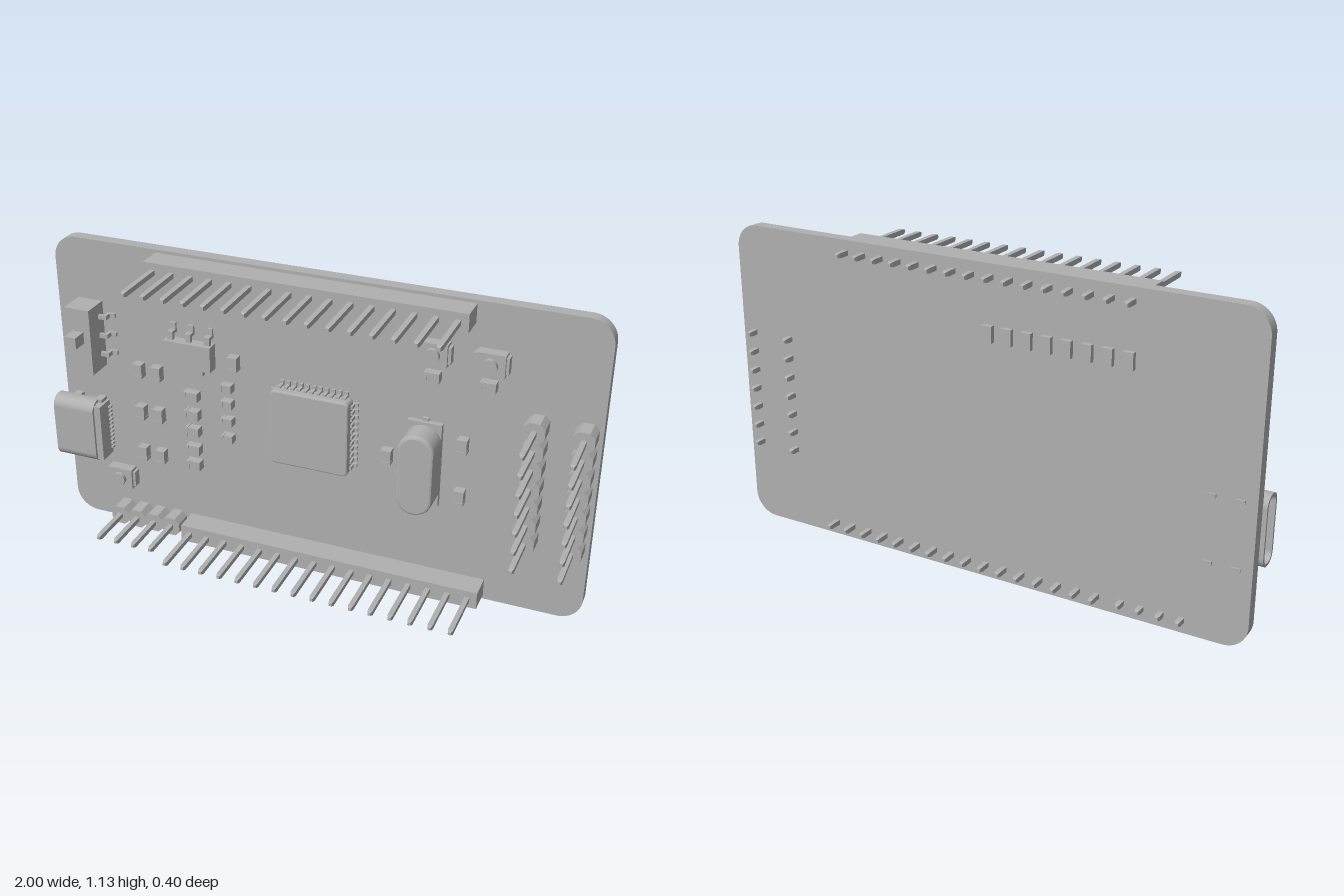
import * as THREE from 'three';

const grey = new THREE.MeshStandardMaterial({ color: 0xb0b0b0 });
grey.name = 'plain grey';
const FRONT = -0.1, BACK = -0.145, PITCH = 0.0715;

function add(parent, name, geometry, x = 0, y = 0, z = 0) {
  const mesh = new THREE.Mesh(geometry, grey);
  mesh.name = name;
  mesh.position.set(x, y, z);
  parent.add(mesh);
  return mesh;
}

function group(parent, name) {
  const g = new THREE.Group();
  g.name = name;
  parent.add(g);
  return g;
}

// Box centred on x, y and spanning z0..z1
function block(parent, name, x, y, w, h, z0, z1) {
  return add(parent, name, new THREE.BoxGeometry(w, h, z1 - z0), x, y, (z0 + z1) / 2);
}

function roundedRect(w, h, r, Type = THREE.Shape) {
  const s = new Type(), a = w / 2, b = h / 2;
  s.absarc(a - r, b - r, r, 0, Math.PI / 2);
  s.absarc(-a + r, b - r, r, Math.PI / 2, Math.PI);
  s.absarc(-a + r, -b + r, r, Math.PI, Math.PI * 1.5);
  s.absarc(a - r, -b + r, r, Math.PI * 1.5, Math.PI * 2);
  s.closePath();
  return s;
}

// Rounded slab between z0 and z1 with an optional bevelled front rim
function slab(parent, name, x, y, w, h, r, z0, z1, bevel = 0) {
  const geo = new THREE.ExtrudeGeometry(roundedRect(w - 2 * bevel, h - 2 * bevel, r - bevel), {
    depth: z1 - z0 - 2 * bevel, curveSegments: 8, bevelEnabled: bevel > 0,
    bevelSize: bevel, bevelThickness: bevel, bevelSegments: 2,
  });
  return add(parent, name, geo, x, y, z0 + bevel);
}

// Square pin with slightly tapered ends
function pin(parent, x, y, z0, z1) {
  const w = 0.018, len = z1 - z0, tip = 0.012;
  const geo = new THREE.BoxGeometry(w, w, len, 1, 1, 3).toNonIndexed();
  const p = geo.attributes.position;
  for (let i = 0; i < p.count; i++) {
    const z = p.getZ(i);
    if (Math.abs(z) > len * 0.4) p.setXY(i, p.getX(i) * 0.6, p.getY(i) * 0.6);
    else p.setZ(i, Math.sign(z) * (len / 2 - tip));
  }
  geo.computeVertexNormals();
  add(parent, 'pin', geo, x, y, (z0 + z1) / 2);
}

// Long one-piece header with sixteen pins
function longHeader(parent, name, firstX, y) {
  const g = group(parent, name);
  block(g, 'housing', firstX + 7.5 * PITCH, y, 1.142, 0.066, FRONT, -0.01);
  for (let i = 0; i < 16; i++) pin(g, firstX + i * PITCH, y, -0.2, 0.2);
}

// Header made of chamfered cells, one for each pin
function cellHeader(parent, name, x, y, count, dx, dy) {
  const g = group(parent, name);
  const a = PITCH / 2, c = 0.018;
  const outline = [[a, -a + c], [a, a - c], [a - c, a], [-a + c, a],
    [-a, a - c], [-a, -a + c], [-a + c, -a], [a - c, -a]];
  const geo = new THREE.ExtrudeGeometry(
    new THREE.Shape(outline.map(([u, v]) => new THREE.Vector2(u, v))),
    { depth: 0.068, bevelEnabled: false });
  for (let i = 0; i < count; i++) {
    add(g, 'cell', geo, x + i * dx, y + i * dy, FRONT);
    pin(g, x + i * dx, y + i * dy, -0.185, 0.14);
  }
}

function button(parent, x, y) {
  const g = group(parent, 'pushButton');
  block(g, 'buttonBody', x, y, 0.098, 0.08, FRONT, -0.06);
  for (const s of [-1, 1]) block(g, 'buttonTerminal', x + s * 0.052, y, 0.014, 0.06, FRONT, -0.07);
  const cap = new THREE.CylinderGeometry(0.025, 0.025, 0.02, 24).rotateX(Math.PI / 2);
  add(g, 'buttonCap', cap, x, y, -0.054);
}

// Small surface part: body with raised end caps along its long side
function chipPart(parent, x, y, w, h) {
  const g = group(parent, 'smallComponent');
  const tall = h > w;
  block(g, 'componentBody', x, y, w * 0.96, h * 0.96, FRONT, -0.068);
  for (const s of [-1, 1]) {
    if (tall) block(g, 'endCap', x, y + s * h * 0.4, w, h * 0.2, FRONT, -0.066);
    else block(g, 'endCap', x + s * w * 0.4, y, w * 0.2, h, FRONT, -0.066);
  }
}

function buildProcessor(parent) {
  const g = group(parent, 'processor');
  g.position.set(0.01, 0.563, 0);
  slab(g, 'processorBody', 0, 0, 0.288, 0.288, 0.018, -0.094, -0.04, 0.006);
  for (let side = 0; side < 4; side++) {
    const row = group(g, 'leadRow');
    row.rotation.z = side * Math.PI / 2;
    for (let i = -5; i <= 5; i++) {
      block(row, 'leadShoulder', 0.144, i * 0.0238, 0.014, 0.012, -0.098, -0.064);
      block(row, 'leadFoot', 0.154, i * 0.0238, 0.016, 0.012, FRONT, -0.09);
    }
  }
}

function buildRegulator(parent) {
  const g = group(parent, 'regulator');
  block(g, 'regulatorBody', -0.455, 0.769, 0.182, 0.096, -0.094, -0.05);
  block(g, 'regulatorTab', -0.455, 0.705, 0.09, 0.04, FRONT, -0.08);
  for (const x of [-0.524, -0.455, -0.382]) {
    block(g, 'regulatorLead', x, 0.828, 0.021, 0.026, -0.08, -0.065);
    block(g, 'regulatorLead', x, 0.842, 0.021, 0.012, FRONT, -0.065);
    block(g, 'regulatorFoot', x, 0.857, 0.021, 0.03, FRONT, -0.09);
  }
}

function buildSwitch(parent) {
  const g = group(parent, 'slideSwitch');
  block(g, 'switchBody', -0.856, 0.778, 0.097, 0.252, FRONT, 0);
  block(g, 'switchKnob', -0.856, 0.797, 0.043, 0.043, 0, 0.057);
  for (const y of [0.856, 0.783, 0.71]) for (const s of [-1, 1]) {
    block(g, 'switchLead', -0.854 + s * 0.06, y, 0.03, 0.016, -0.075, -0.062);
    block(g, 'switchLead', -0.854 + s * 0.073, y, 0.012, 0.016, FRONT, -0.062);
    block(g, 'switchFoot', -0.854 + s * 0.086, y, 0.026, 0.016, FRONT, -0.09);
  }
}

function buildSocket(parent) {
  const g = group(parent, 'cableSocket');
  // Hollow shell opening towards the board edge
  const shell = roundedRect(0.086, 0.249, 0.038);
  shell.holes.push(roundedRect(0.066, 0.229, 0.028, THREE.Path));
  const geo = new THREE.ExtrudeGeometry(shell, { depth: 0.165, bevelEnabled: false, curveSegments: 8 });
  geo.rotateY(Math.PI / 2);
  add(g, 'socketShell', geo, -1, 0.395, -0.058);
  block(g, 'socketBack', -0.852, 0.395, 0.084, 0.222, FRONT, -0.026);
  block(g, 'socketTongue', -0.93, 0.395, 0.1, 0.17, -0.066, -0.05);
  for (let i = -5; i <= 5; i++) block(g, 'socketContact', -0.81, 0.395 + i * 0.017, 0.02, 0.008, FRONT, -0.085);
  for (const x of [-0.93, -0.835]) for (const s of [-1, 1]) {
    block(g, 'socketPost', x, 0.395 + s * 0.117, 0.03, 0.014, -0.151, -0.06);
  }
}

function buildCrystal(parent) {
  const g = group(parent, 'crystal');
  block(g, 'crystalBase', 0.412, 0.511, 0.122, 0.32, FRONT, -0.08);
  slab(g, 'crystalCan', 0.412, 0.511, 0.128, 0.305, 0.064, -0.085, 0.015, 0.009);
  for (const s of [-1, 1]) block(g, 'crystalLead', 0.412, 0.511 + s * 0.165, 0.022, 0.016, FRONT, -0.09);
}

export function createModel() {
  const model = new THREE.Group();
  model.name = 'circuitBoard';
  slab(model, 'board', 0.0075, 0.566, 1.985, 1.132, 0.085, BACK, FRONT);

  // Pin headers
  longHeader(model, 'topHeader', -0.548, 1.088);
  longHeader(model, 'bottomHeader', -0.455, 0.048);
  cellHeader(model, 'cornerHeader', -0.76, 0.048, 4, PITCH, 0);
  for (const x of [0.79, 0.95]) cellHeader(model, 'sideHeader', x, 0.305, 7, 0, PITCH);

  buildProcessor(model);
  buildRegulator(model);
  buildSwitch(model);
  buildSocket(model);
  buildCrystal(model);
  for (const [x, y] of [[0.433, 0.935], [0.625, 0.933], [-0.765, 0.198]]) button(model, x, y);

  // Small surface parts, upright then lying
  for (const y of [0.663, 0.492, 0.32]) for (const x of [-0.667, -0.594]) chipPart(model, x, y, 0.036, 0.054);
  for (const [x, y] of [[0.547, 0.61], [0.547, 0.41], [0.283, 0.513], [-0.289, 0.759]]) {
    chipPart(model, x, y, 0.036, 0.054);
  }
  for (const y of [0.599, 0.524, 0.455, 0.38, 0.315]) chipPart(model, -0.457, y, 0.054, 0.036);
  for (const y of [0.658, 0.594, 0.524, 0.455]) chipPart(model, -0.317, y, 0.042, 0.03);
  for (const x of [0.43, 0.62]) chipPart(model, x, 0.847, 0.054, 0.036);

  // Row of parts on the back
  for (let i = 0; i < 8; i++) block(model, 'backComponent', -0.04 - i * 0.072, 0.898, 0.036, 0.058, -0.163, BACK);
  return model;
}
